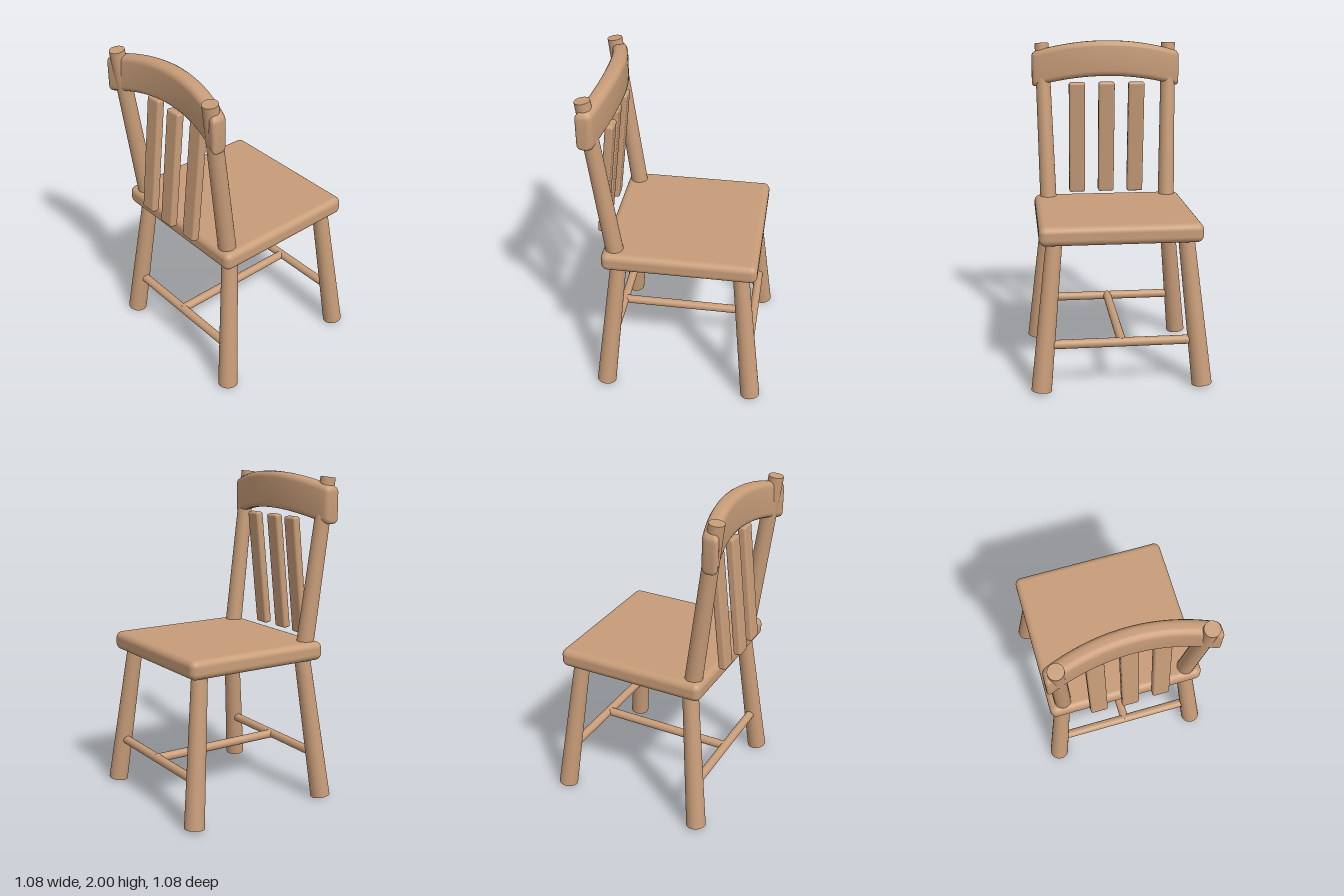
import * as THREE from 'three';
import { toCreasedNormals } from 'three/addons/utils/BufferGeometryUtils.js';
import { RoundedBoxGeometry } from 'three/addons/geometries/RoundedBoxGeometry.js';

export function createModel() {
  const chair = new THREE.Group();
  chair.name = 'chair';
  const wood = new THREE.MeshStandardMaterial({ color: 0xc79c78 });
  wood.name = 'wood';

  const add = (name, geometry) => {
    const mesh = new THREE.Mesh(geometry, wood);
    mesh.name = name;
    chair.add(mesh);
    return mesh;
  };

  // Round, optionally tapered rod between two points
  const rod = (name, from, to, r0, r1 = r0) => {
    const a = new THREE.Vector3(...from);
    const b = new THREE.Vector3(...to);
    const dir = b.clone().sub(a);
    const mesh = add(name, new THREE.CylinderGeometry(r1, r0, dir.length(), 32));
    mesh.position.copy(a).add(b).multiplyScalar(0.5);
    mesh.quaternion.setFromUnitVectors(new THREE.Vector3(0, 1, 0), dir.normalize());
  };

  // Seat
  add('seat', new RoundedBoxGeometry(0.96, 0.115, 0.93, 5, 0.04)).position.set(0, 0.9425, -0.02);

  // Splayed legs and back posts
  for (const [side, s] of [['left', 1], ['right', -1]]) {
    rod(side + 'FrontLeg', [s * 0.48, 0.012, -0.48], [s * 0.39, 0.89, -0.385], 0.06, 0.048);
    rod(side + 'BackLeg', [s * 0.48, 0.012, 0.445], [s * 0.39, 0.89, 0.352], 0.06, 0.048);
    rod(side + 'BackPost', [s * 0.39, 0.98, 0.37], [s * 0.413, 1.98, 0.5], 0.053, 0.045);
  }

  // H-shaped stretchers
  rod('frontStretcher', [-0.45, 0.285, -0.45], [0.45, 0.285, -0.45], 0.027);
  rod('backStretcher', [-0.45, 0.285, 0.415], [0.45, 0.285, 0.415], 0.027);
  rod('middleStretcher', [0, 0.285, -0.46], [0, 0.285, 0.425], 0.027);

  // Tilted back slats
  for (const i of [-1, 0, 1]) {
    const slat = add('backSlat', new RoundedBoxGeometry(0.105, 0.737, 0.05, 3, 0.014));
    slat.position.set(i * 0.193, 1.368, i ? 0.443 : 0.453);
    slat.rotation.x = -Math.atan2(0.08, 0.735);
  }

  // Top rail: rounded bar, bowed backwards and arched
  const w = 0.095, h = 0.225, bevel = 0.025, r = 0.012;
  const x = w / 2 - bevel, y = h / 2 - bevel;
  const section = new THREE.Shape();
  section.moveTo(-x + r, -y);
  section.lineTo(x - r, -y);
  section.quadraticCurveTo(x, -y, x, -y + r);
  section.lineTo(x, y - r);
  section.quadraticCurveTo(x, y, x - r, y);
  section.lineTo(-x + r, y);
  section.quadraticCurveTo(-x, y, -x, y - r);
  section.lineTo(-x, -y + r);
  section.quadraticCurveTo(-x, -y, -x + r, -y);
  const length = 0.96 - 2 * bevel;
  const rail = new THREE.ExtrudeGeometry(section, {
    depth: length, steps: 32, curveSegments: 4,
    bevelThickness: bevel, bevelSize: bevel, bevelSegments: 4,
  });
  rail.translate(0, 0, -length / 2).rotateY(Math.PI / 2);
  const p = rail.attributes.position;
  for (let i = 0; i < p.count; i++) {
    const bow = (p.getX(i) / 0.48) ** 2;
    p.setY(i, p.getY(i) + 1.8875 - 0.075 * bow);
    p.setZ(i, p.getZ(i) + 0.413 + 0.08 * bow);
  }
  add('topRail', toCreasedNormals(rail, 0.7));

  return chair;
}
